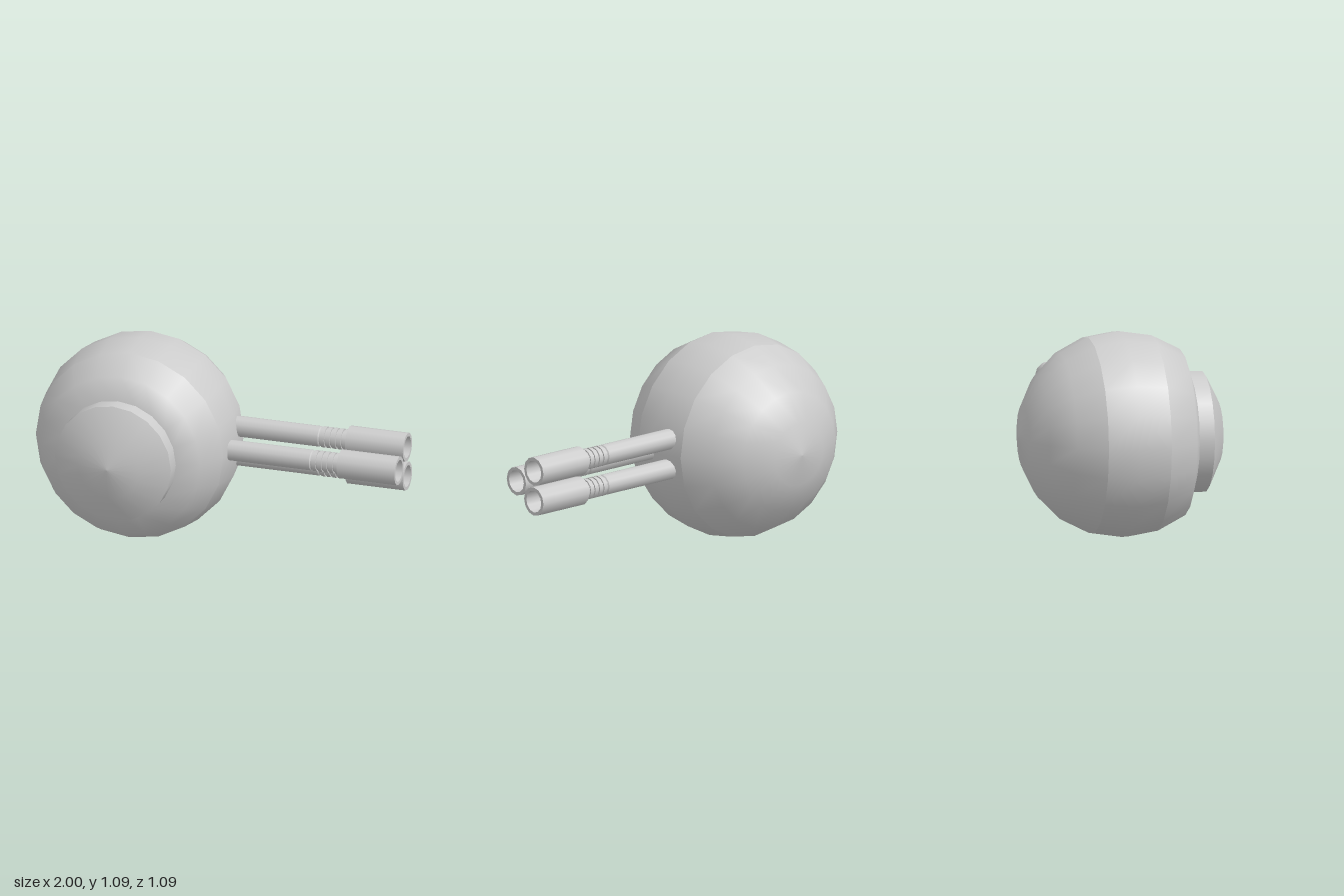
import * as THREE from 'three';

const material = new THREE.MeshStandardMaterial({ color: 0xcccccc });
const R = 0.545;

// Smooth lathe strip; points are [radius, height], listed so the outside faces out
function strip(name, points, sides) {
  const geometry = new THREE.LatheGeometry(points.map(([r, h]) => new THREE.Vector2(r, h)), sides);
  const mesh = new THREE.Mesh(geometry, material);
  mesh.name = name;
  return mesh;
}

// Sphere profile between two latitudes, counted in steps of 18 degrees
function arc(from, to) {
  const points = [];
  for (let i = from; i <= to; i++) {
    const a = (i * Math.PI) / 10;
    points.push([Math.abs(i) === 5 ? 0 : R * Math.cos(a), R * Math.sin(a)]);
  }
  return points;
}

function createBody() {
  const body = new THREE.Group();
  body.name = 'body';
  const rim = R * Math.cos(0.3 * Math.PI);
  const ledge = 0.36;
  body.add(
    strip('backShell', arc(-5, -1), 20),
    strip('middleBand', arc(-1, 1), 20),
    strip('frontShell', [...arc(1, 2), [rim, ledge]], 20),
    strip('eyeRim', [[rim, ledge], [rim, R * Math.sin(0.3 * Math.PI)]], 20),
    strip('eyeDome', arc(3, 5), 20),
  );
  body.rotation.x = Math.PI / 2;
  body.position.set(-0.455, R, 0);
  return body;
}

function createBarrel(y, z) {
  const barrel = new THREE.Group();
  barrel.name = 'barrel';
  const add = (name, ...points) => {
    // Each segment is its own strip so the edges stay sharp
    for (let i = 1; i < points.length; i++) barrel.add(strip(name, [points[i - 1], points[i]], 12));
  };
  add('barrelTube', [0, 0.03], [0.055, 0.03], [0.055, 0.52]);

  // Ribbed neck
  const neck = [[0.055, 0.52]];
  for (let i = 0; i < 5; i++) {
    const x = 0.525 + i * 0.031;
    neck.push([0.049, x], [0.049, x + 0.009], [0.056, x + 0.009], [0.056, x + 0.031]);
  }
  add('barrelNeck', ...neck);

  // Hollow muzzle
  add('muzzle', [0.05, 0.68], [0.077, 0.68], [0.077, 1], [0.059, 1], [0.059, 0.7], [0, 0.7]);

  barrel.rotation.z = -Math.PI / 2;
  barrel.position.set(0, y, z);
  return barrel;
}

export function createModel() {
  const model = new THREE.Group();
  model.name = 'sphereTurret';
  model.add(createBody());
  for (const [y, z] of [[0.63, -0.07], [0.467, -0.07], [0.548, 0.068]]) model.add(createBarrel(y, z));
  return model;
}
